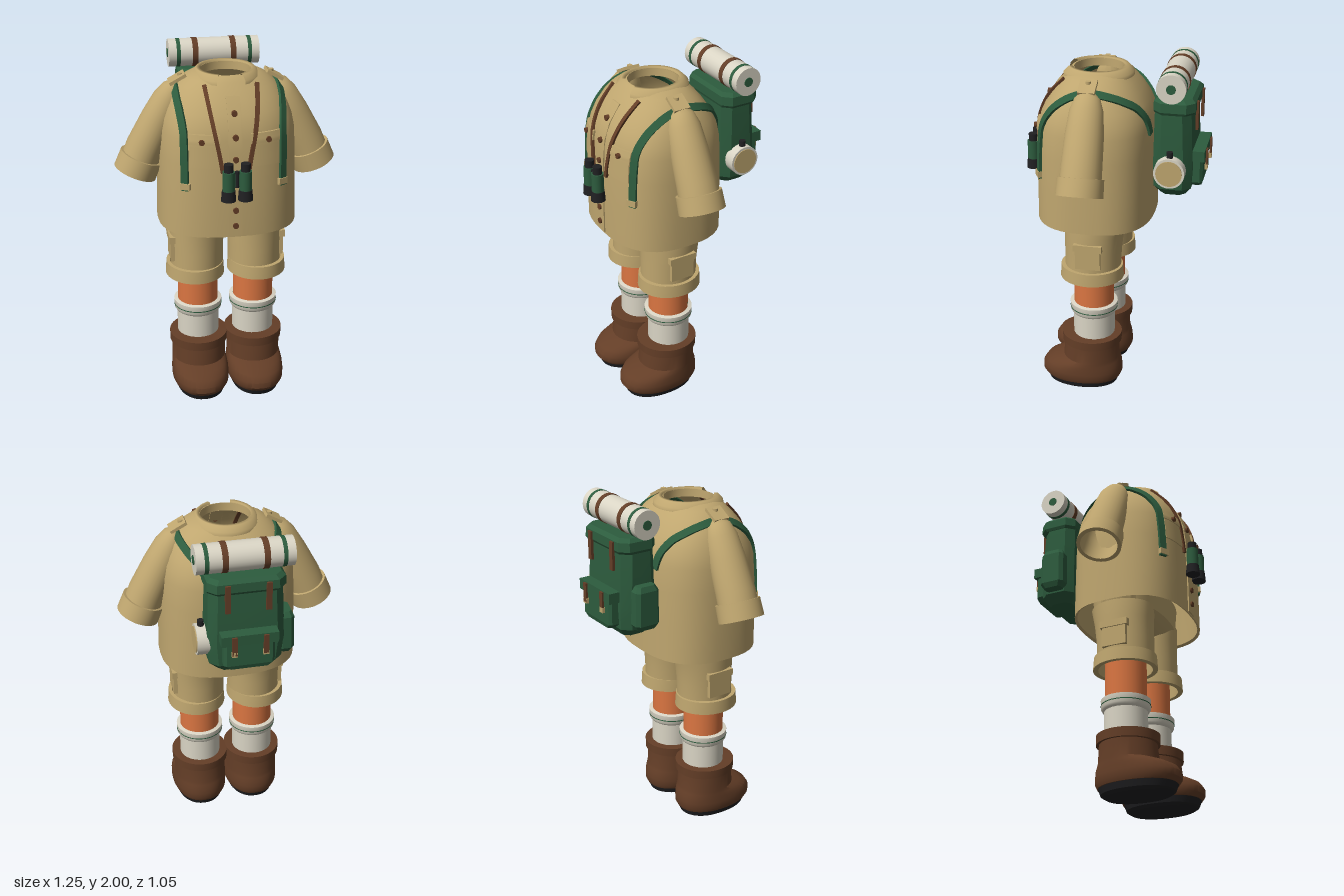
import * as THREE from 'three';
import { toCreasedNormals } from 'three/addons/utils/BufferGeometryUtils.js';

const V = (x, y, z) => new THREE.Vector3(x, y, z);
const mat = (name, color, side = THREE.FrontSide) => {
  const m = new THREE.MeshStandardMaterial({ color, side });
  m.name = name;
  return m;
};

// Skin a stack of equal rings; caps: 'b' bottom, 't' top
function loft(rings, caps = '', crease = 0.6) {
  const n = rings[0].length, pos = [], idx = [];
  rings.forEach(r => r.forEach(p => pos.push(p.x, p.y, p.z)));
  for (let i = 0; i < rings.length - 1; i++) {
    for (let j = 0; j < n; j++) {
      const k = (j + 1) % n, a = i * n + j, b = i * n + k;
      idx.push(a, a + n, b, b, a + n, b + n);
    }
  }
  const cap = (row, flip) => {
    const c = rings[row].reduce((s, p) => s.add(p), V(0, 0, 0)).divideScalar(n), ci = pos.length / 3;
    pos.push(c.x, c.y, c.z);
    for (let j = 0; j < n; j++) {
      const a = row * n + j, b = row * n + (j + 1) % n;
      idx.push(ci, flip ? b : a, flip ? a : b);
    }
  };
  if (caps.includes('b')) cap(0, false);
  if (caps.includes('t')) cap(rings.length - 1, true);
  const g = new THREE.BufferGeometry();
  g.setAttribute('position', new THREE.Float32BufferAttribute(pos, 3));
  g.setIndex(idx);
  return toCreasedNormals(g, crease);
}

// Rounded (superellipse) ring: height, x radius, z radius, z centre, exponent
function oval([y, a, b, cz = 0, e = 2], cx = 0, n = 40) {
  return Array.from({ length: n }, (_, j) => {
    const t = j / n * Math.PI * 2, c = Math.cos(t), s = Math.sin(t);
    return V(cx + a * Math.sign(c) * Math.abs(c) ** (2 / e), y, cz + b * Math.sign(s) * Math.abs(s) ** (2 / e));
  });
}
const tube = (rows, cx = 0, caps = '') => loft(rows.map(r => oval(r, cx)), caps);

// Bevelled rectangle ring: height, half width, half depth, z centre, bevel
const octagon = ([y, w, d, cz, k], cx = 0) =>
  [[w, k - d], [w, d - k], [w - k, d], [k - w, d], [-w, d - k], [-w, k - d], [k - w, -d], [w - k, -d]]
    .map(([x, z]) => V(cx + x, y, cz + z));
const bevelled = (rows, cx = 0) => loft(rows.map(r => octagon(r, cx)), 'bt', 0.3);

// Shirt sections, also used to lay straps and pockets on the cloth
const SHIRT = [
  [1.09, 0.39, 0.334, 0.112, 2.6], [1.3, 0.386, 0.333, 0.112, 2.6], [1.5, 0.381, 0.33, 0.11, 2.6],
  [1.64, 0.373, 0.323, 0.108, 2.6], [1.71, 0.36, 0.31, 0.106, 2.55], [1.77, 0.338, 0.285, 0.105, 2.5],
  [1.83, 0.31, 0.247, 0.105, 2.4], [1.88, 0.27, 0.208, 0.105, 2.3], [1.915, 0.225, 0.175, 0.107, 2.15],
  [1.94, 0.175, 0.15, 0.108, 2],
];
function section(y) {
  let i = 0;
  while (i < SHIRT.length - 2 && y > SHIRT[i + 1][0]) i++;
  const A = SHIRT[i], B = SHIRT[i + 1], t = (y - A[0]) / (B[0] - A[0]);
  return A.map((v, k) => v + (B[k] - v) * t);
}
const field = (x, y, z) => {
  const [, a, b, c, e] = section(y);
  return Math.abs(x / a) ** e + Math.abs((z - c) / b) ** e;
};
function sideZ(x, y, dir = 1) {
  const [, a, b, c, e] = section(y);
  return c + dir * b * Math.max(0, 1 - Math.abs(x / a) ** e) ** (1 / e);
}
function topY(x, z) {
  let y = 1.94;
  while (y > 1.1 && field(x, y, z) > 1) y -= 0.002;
  return y;
}
function normalAt(p) {
  const h = 0.01, f = (x, y, z) => field(p.x + x, p.y + y, p.z + z);
  return V(f(h, 0, 0) - f(-h, 0, 0), f(0, h, 0) - f(0, -h, 0), f(0, 0, h) - f(0, 0, -h)).normalize();
}

// Flat strap following the cloth
function strap(points, width, thick) {
  const curve = new THREE.CatmullRomCurve3(points), N = 44;
  const rings = Array.from({ length: N + 1 }, (_, i) => {
    const p = curve.getPointAt(i / N), t = curve.getTangentAt(i / N), n = normalAt(p);
    const b = n.clone().cross(t).normalize().multiplyScalar(width / 2);
    const at = (o, s) => p.clone().addScaledVector(n, o).addScaledVector(b, s);
    return [at(thick, -1), at(thick, 1), at(-0.006, 1), at(-0.006, -1)];
  });
  return loft(rings, 'bt');
}

// Thin plate bent over the shirt front
function plate(x, y, w, h, t) {
  const g = new THREE.BoxGeometry(w, h, t, 8, 8, 1).translate(x, y, 0), p = g.attributes.position;
  for (let i = 0; i < p.count; i++) p.setZ(i, p.getZ(i) + sideZ(p.getX(i), p.getY(i)));
  g.computeVertexNormals();
  return g;
}

export function createModel() {
  const root = new THREE.Group();
  const tan = mat('khaki cloth', 0xbfa66f, THREE.DoubleSide), green = mat('green canvas', 0x2d5c3e);
  const brown = mat('brown leather', 0x643e27), skin = mat('skin', 0xdb7642);
  const cream = mat('cream wool', 0xdad5c5), black = mat('black rubber', 0x202022);
  const add = (name, geo, m, parent = root) => {
    const mesh = new THREE.Mesh(geo, m);
    mesh.name = name;
    parent.add(mesh);
    return mesh;
  };
  const box = (name, w, h, d, x, y, z, m) => add(name, new THREE.BoxGeometry(w, h, d).translate(x, y, z), m);
  const rod = (name, r, len, x, y, z, m, axis = 'y', r2 = r) => {
    const g = new THREE.CylinderGeometry(r, r2, len, 28);
    if (axis === 'x') g.rotateZ(Math.PI / 2);
    if (axis === 'z') g.rotateX(Math.PI / 2);
    return add(name, g.translate(x, y, z), m);
  };

  // Shirt body, collar, placket and buttons
  add('shirt', tube([[1.1, 0.375, 0.32, 0.112, 2.6], ...SHIRT, [1.945, 0.14, 0.137, 0.107, 2], [1.9, 0.138, 0.135, 0.107, 2]]), tan);
  const collar = [[0.14, 1.92], [0.14, 1.953], [0.16, 1.953], [0.187, 1.925], [0.19, 1.905]].map(([x, y]) => new THREE.Vector2(x, y));
  add('collar', new THREE.LatheGeometry(collar, 40, 0.42, Math.PI * 2 - 0.84).scale(1, 1, 1.06).translate(0, 0, 0.108), tan);
  add('placket', plate(0, 1.48, 0.075, 0.76, 0.012), tan);
  for (const y of [1.78, 1.66, 1.54, 1.4, 1.25, 1.16]) rod('shirtButton', 0.016, 0.02, 0, y, sideZ(0, y) + 0.007, brown, 'z');

  // Hips
  add('shortsHips', tube([[1.0, 0.2, 0.06, 0.1], [1.05, 0.29, 0.15, 0.1], [1.1, 0.32, 0.2, 0.095, 2.3], [1.24, 0.33, 0.21, 0.095, 2.4]], 0, 'bt'), tan);

  for (const s of [1, -1]) {
    // Sleeve with turned-up cuff
    const sleeve = new THREE.Group();
    sleeve.name = 'sleeve';
    sleeve.position.z = 0.105;
    sleeve.rotation.y = s > 0 ? 0 : Math.PI;
    root.add(sleeve);
    const arm = [[0.503, 1.39, 0.106, 0.115, 0.39], [0.45, 1.52, 0.106, 0.112, 0.43], [0.37, 1.68, 0.098, 0.105, 0.46],
      [0.315, 1.79, 0.085, 0.093, 0.5], [0.288, 1.85, 0.06, 0.07, 0.5], [0.272, 1.885, 0.022, 0.03, 0.5]];
    add('sleeveCloth', loft(arm.map(([x, y, r, rz, a]) =>
      oval([0, r, rz], 0, 28).map(p => p.applyAxisAngle(V(0, 0, 1), a).add(V(x, y, 0)))), 't'), tan, sleeve);
    const cuff = tube([[0.1, 0.1, 0.108], [0, 0.1, 0.108], [0, 0.122, 0.13], [0.1, 0.12, 0.127], [0.1, 0.1, 0.108]]);
    add('sleeveCuff', cuff.rotateZ(0.39).translate(0.51, 1.375, 0), tan, sleeve);

    // Shoulder tab and its button
    const tab = add('shoulderTab', new THREE.BoxGeometry(0.1, 0.018, 0.095), tan);
    tab.position.set(s * 0.268, 1.905, 0.11);
    tab.rotation.z = -s * 0.5;
    rod('shoulderButton', 0.015, 0.03, s * 0.25, 1.918, 0.11, tan);

    // Chest pocket
    add('chestPocket', plate(s * 0.165, 1.585, 0.15, 0.18, 0.012), tan);
    add('chestPocketFlap', plate(s * 0.165, 1.65, 0.165, 0.055, 0.024), tan);
    rod('pocketButton', 0.015, 0.02, s * 0.18, 1.64, sideZ(0.18, 1.64) + 0.014, brown, 'z');

    // Pack strap over the shoulder, with end buckle
    const front = [1.36, 1.48, 1.6, 1.68].map(y => V(s * 0.265, y, sideZ(0.265, y)));
    const over = [[0.275, 0.3], [0.282, 0.2], [0.277, 0.1], [0.268, 0], [0.24, -0.08], [0.2, -0.14]].map(([x, z]) => V(s * x, topY(x, z), z));
    const back = [V(s * 0.16, 1.7, sideZ(0.16, 1.7, -1)), V(s * 0.14, 1.62, sideZ(0.14, 1.62, -1))];
    add('packStrap', strap([...front, ...over, ...back], 0.042, 0.014), green);
    const buckle = box('strapBuckle', 0.056, 0.035, 0.025, 0, 0, 0, tan);
    buckle.position.set(s * 0.265, 1.385, sideZ(0.265, 1.385) + 0.008);
    buckle.rotation.y = s * 0.5;

    // Binocular neck strap and barrel
    const cord = [[0.14, 1.9], [0.128, 1.8], [0.108, 1.68], [0.085, 1.56], [0.07, 1.47]].map(([x, y]) => V(s * x, y, sideZ(x, y)));
    add('binocularStrap', strap(cord, 0.022, 0.014), brown);
    rod('binocularBarrel', 0.034, 0.11, s * 0.046, 1.435, 0.485, green);
    rod('binocularEyepiece', 0.026, 0.05, s * 0.046, 1.508, 0.485, black);
    rod('binocularLens', 0.036, 0.058, s * 0.046, 1.355, 0.485, black, 'y', 0.041);

    // Shorts leg, cuff and cargo pocket
    add('shortsLeg', tube([[0.76, 0.152, 0.163, 0.112], [0.9, 0.152, 0.165, 0.11], [1.02, 0.158, 0.172, 0.103], [1.12, 0.155, 0.185, 0.095]], s * 0.168), tan);
    add('shortsCuff', tube([[0.81, 0.145, 0.155, 0.115], [0.735, 0.145, 0.155, 0.115], [0.735, 0.17, 0.185, 0.115], [0.81, 0.165, 0.18, 0.115], [0.81, 0.145, 0.155, 0.115]], s * 0.181), tan);
    box('cargoPocket', 0.045, 0.14, 0.145, s * 0.305, 0.905, 0.11, tan);
    box('cargoPocketFlap', 0.06, 0.04, 0.165, s * 0.305, 0.968, 0.11, tan);

    // Leg and sock
    const x = s * 0.165;
    rod('leg', 0.117, 0.34, x, 0.7, 0.11, skin);
    rod('sock', 0.122, 0.24, x, 0.42, 0.11, cream);
    add('sockCuff', tube([[0.485, 0.12, 0.12, 0.11], [0.492, 0.13, 0.13, 0.11], [0.505, 0.138, 0.138, 0.11], [0.555, 0.14, 0.14, 0.11], [0.56, 0.118, 0.118, 0.11]], x), cream);
    rod('sockStripe', 0.1405, 0.005, x, 0.523, 0.11, green);

    // Boot: sole, foot, shaft and rim
    add('bootSole', tube([[0, 0.12, 0.185, 0.18, 2.2], [0.015, 0.14, 0.21, 0.18, 2.2], [0.058, 0.153, 0.226, 0.181, 2.2]], x, 'bt'), black);
    add('bootFoot', tube([[0.05, 0.155, 0.227, 0.18, 2.2], [0.075, 0.166, 0.242, 0.183, 2.2], [0.11, 0.167, 0.242, 0.183, 2.2],
      [0.145, 0.165, 0.228, 0.173, 2.2], [0.17, 0.162, 0.2, 0.152, 2.1], [0.19, 0.158, 0.17, 0.127], [0.3, 0.158, 0.16, 0.123]], x, 'b'), brown);
    add('bootRim', tube([[0.29, 0.15, 0.15, 0.123], [0.292, 0.169, 0.177, 0.123], [0.345, 0.17, 0.178, 0.123], [0.348, 0.12, 0.12, 0.11]], x), brown);

    // Pack lid strap, pocket strap and buckle
    box('lidStrap', 0.03, 0.16, 0.016, s * 0.11, 1.735, -0.463, brown);
    box('pocketStrap', 0.028, 0.11, 0.012, s * 0.085, 1.48, -0.52, brown);
    box('pocketBuckle', 0.032, 0.03, 0.016, s * 0.085, 1.432, -0.518, tan);

    // Bedroll bands and end discs
    rod('bedrollStrap', 0.083, 0.032, s * 0.11, 1.92, -0.338, brown, 'x');
    rod('bedrollStripe', 0.0815, 0.022, s * 0.207, 1.92, -0.338, green, 'x');
    rod('bedrollCore', 0.026, 0.006, s * 0.264, 1.92, -0.338, green, 'x');
  }

  // Binocular bridge and hinge
  box('binocularBridge', 0.05, 0.07, 0.025, 0, 1.44, 0.48, green);
  rod('binocularHinge', 0.012, 0.09, 0, 1.445, 0.485, black);

  // Backpack body, lid, back pocket and side pocket
  add('packBody', bevelled([[1.27, 0.15, 0.07, -0.34, 0.03], [1.32, 0.2, 0.105, -0.34, 0.045], [1.45, 0.212, 0.11, -0.342, 0.045], [1.77, 0.2, 0.1, -0.336, 0.045]]), green);
  add('packLid', bevelled([[1.755, 0.205, 0.108, -0.343, 0.045], [1.77, 0.213, 0.115, -0.345, 0.045], [1.82, 0.21, 0.114, -0.345, 0.045], [1.84, 0.19, 0.095, -0.343, 0.04]]), green);
  add('backPocket', bevelled([[1.325, 0.115, 0.03, -0.467, 0.015], [1.35, 0.14, 0.038, -0.467, 0.015], [1.52, 0.14, 0.036, -0.467, 0.015]]), green);
  box('backPocketFlap', 0.31, 0.06, 0.08, 0, 1.51, -0.475, green);
  add('sidePocket', bevelled([[1.33, 0.03, 0.055, -0.335, 0.015], [1.36, 0.045, 0.075, -0.335, 0.02], [1.55, 0.042, 0.072, -0.335, 0.02], [1.58, 0.028, 0.055, -0.335, 0.015]], -0.228), green);

  // Canteen on the left of the pack
  rod('canteen', 0.086, 0.07, 0.228, 1.44, -0.335, cream, 'x');
  rod('canteenFace', 0.073, 0.008, 0.264, 1.44, -0.335, tan, 'x');
  rod('canteenCap', 0.018, 0.04, 0.232, 1.537, -0.335, black);

  // Bedroll
  rod('bedroll', 0.08, 0.526, 0, 1.92, -0.338, cream, 'x');
  return root;
}
